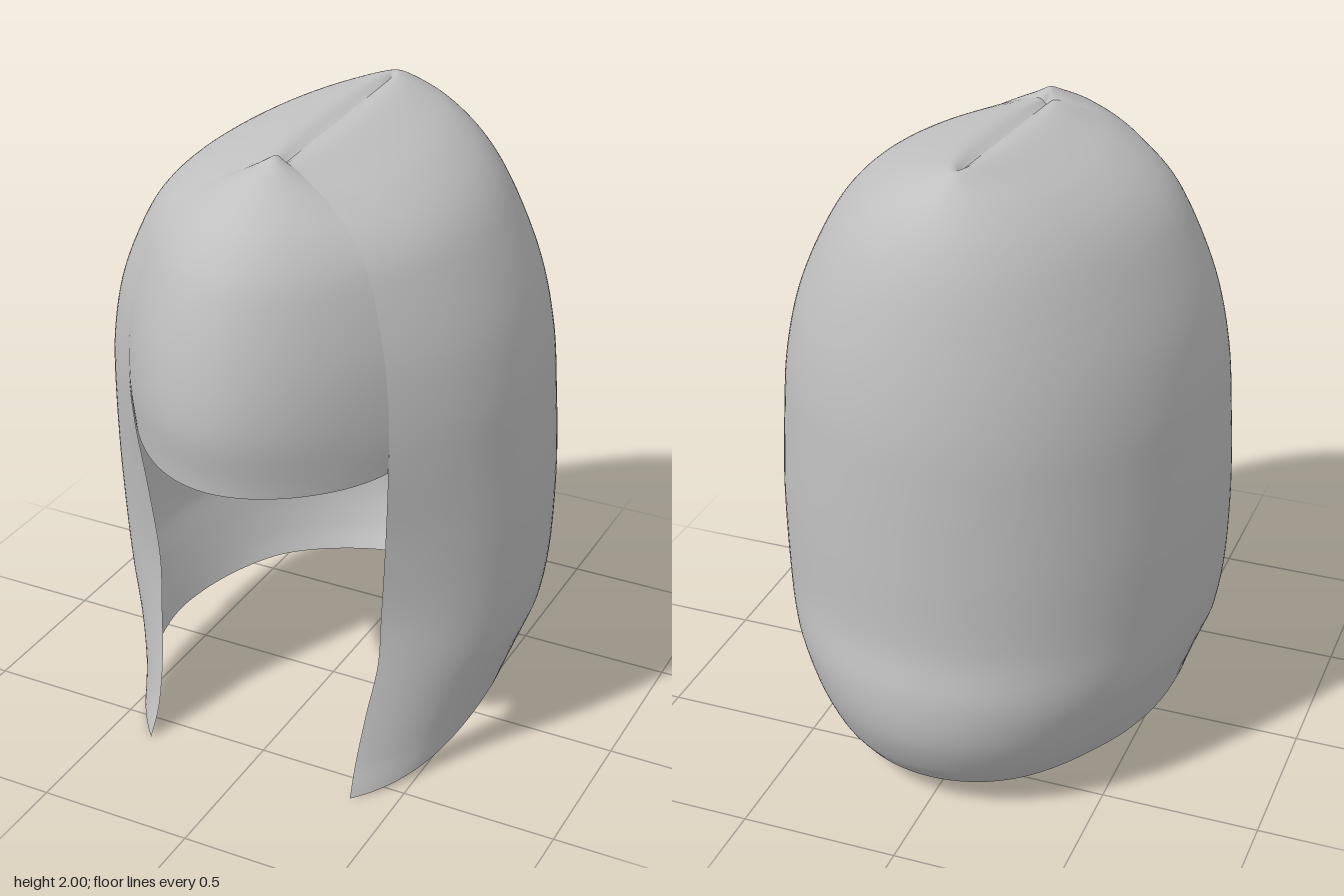
import * as THREE from 'three';

const smooth = THREE.MathUtils.smoothstep;
const lerp = THREE.MathUtils.lerp;

// Levels from hem to parting: height, side half-width, back z, front edge x, front edge z, fringe z
const LEVELS = [
  [0, 0.575, -0.70, 0.36, 0.60, 0.8],
  [0.1, 0.60, -0.76, 0.355, 0.55, 0.8],
  [0.25, 0.64, -0.81, 0.365, 0.50, 0.8],
  [0.42, 0.685, -0.82, 0.385, 0.46, 0.8],
  [0.6, 0.71, -0.79, 0.39, 0.45, 0.8],
  [0.85, 0.715, -0.785, 0.41, 0.47, 0.8],
  [1.1, 0.70, -0.78, 0.43, 0.50, 0.80],
  [1.3, 0.68, -0.77, 0.435, 0.51, 0.825],
  [1.5, 0.63, -0.74, 0.415, 0.505, 0.80],
  [1.7, 0.535, -0.69, 0.36, 0.48, 0.735],
  [1.83, 0.44, -0.635, 0.29, 0.45, 0.65],
  [1.92, 0.32, -0.57, 0.20, 0.41, 0.53],
  [1.975, 0.18, -0.50, 0.10, 0.37, 0.43],
  [2.0, 0.07, -0.44, 0.03, 0.34, 0.37],
  [1.985, 0, -0.39, 0, 0.33, 0.33],
];
const spline = (a, b) => new THREE.CatmullRomCurve3(
  LEVELS.map((l) => new THREE.Vector3(l[a], l[0], l[b])), false, 'catmullrom', 0.5);
const bodyCurve = spline(1, 2);
const edgeCurve = spline(3, 4);
const fringeCurve = spline(3, 5);
const FRINGE_START = 6 / (LEVELS.length - 1);

// The crown slopes gently down toward the front
const crownDrop = (y, z) =>
  0.045 * smooth(y, 1.7, 2) * THREE.MathUtils.clamp((z + 0.4) / 0.73, 0, 1);

// Smooth open sheet sampled from a rule (u across, v upward)
function sheet(nu, nv, rule) {
  const pos = [], index = [];
  for (let j = 0; j <= nv; j++) {
    for (let i = 0; i <= nu; i++) pos.push(...rule(i / nu, j / nv));
  }
  for (let j = 0; j < nv; j++) {
    for (let i = 0; i < nu; i++) {
      const a = j * (nu + 1) + i, b = a + nu + 1;
      index.push(a, b, a + 1, a + 1, b, b + 1);
    }
  }
  const geo = new THREE.BufferGeometry();
  geo.setAttribute('position', new THREE.Float32BufferAttribute(pos, 3));
  geo.setIndex(index);
  geo.computeVertexNormals();
  return geo;
}

// Horseshoe section: right front edge, round the back, to the left front edge
function hairPoint(u, v) {
  const body = bodyCurve.getPoint(v), edge = edgeCurve.getPoint(v);
  const side = u < 0.5 ? -1 : 1;
  const s = Math.abs(u - 0.5) * 2; // 0 at the back, 1 at the front edge
  const w = Math.max(body.x, 0), z0 = lerp(0.05, 0, v);
  let x, z;
  if (s < 0.65) {
    const a = (s / 0.65) * Math.PI / 2;
    x = w * Math.sin(a);
    z = z0 + (body.z - z0) * Math.cos(a);
  } else {
    const t = (s - 0.65) / 0.35, k = 1 - t;
    x = (k * k + 2 * k * t) * w + t * t * Math.max(edge.x, 0);
    z = k * k * z0 + 2 * k * t * lerp(z0, edge.z, 0.58) + t * t * edge.z;
  }
  // Hem rises behind the front locks, with a slight wave
  const hem = 0.11 * (1 - smooth(z, 0, 0.6)) - 0.03 * (1 - smooth(z, -0.72, -0.4));
  const y = body.y + hem * Math.max(0, 1 - body.y / 0.4) - crownDrop(body.y, z);
  return [side * x, y, z];
}

// Bulging fringe joined to the front edges
function fringePoint(u, v) {
  const t = lerp(FRINGE_START, 1, v);
  const edge = edgeCurve.getPoint(t), peak = fringeCurve.getPoint(t);
  const s = 1 - 2 * u, bulge = 1 - s * s;
  const lift = 0.03 * smooth(edge.y, 1.75, 1.95) * bulge * smooth(1 - v, 0, 0.1);
  const hem = 0.025 * s ** 8 * (1 - smooth(v, 0, 0.1));
  return [
    s * Math.max(edge.x, 0),
    edge.y - crownDrop(edge.y, edge.z) + lift + hem,
    edge.z + (peak.z - edge.z) * bulge,
  ];
}

export function createModel() {
  const group = new THREE.Group();
  group.name = 'bobHair';
  const hairGrey = new THREE.MeshStandardMaterial({ color: 0xc0c0c0, side: THREE.DoubleSide });
  hairGrey.name = 'hairGrey';

  const hair = new THREE.Mesh(sheet(120, 112, hairPoint), hairGrey);
  hair.name = 'longHair';
  const fringe = new THREE.Mesh(sheet(48, 64, fringePoint), hairGrey);
  fringe.name = 'fringe';
  group.add(hair, fringe);
  return group;
}
